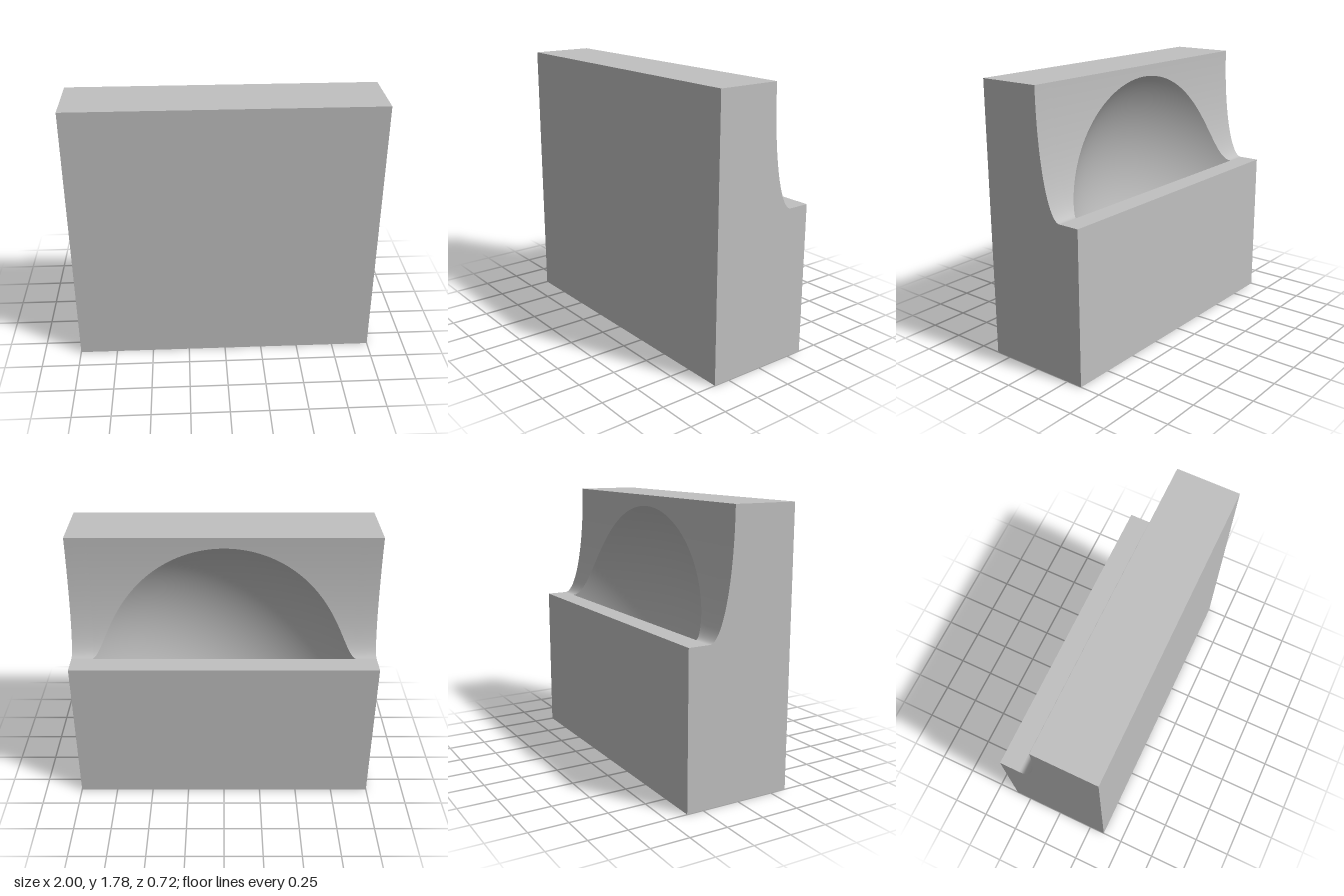
import * as THREE from 'three';

// Block and scooped step
const W = 1, H = 1.785, FRONT = 0.36, BACK = -0.36, SHELF = 1;
const COVE_Z = -0.22, COVE_A = 0.16, COVE_B = H - SHELF;
// Spherical hollow, cut off flat at the foot of the cove
const MOUTH = 0.86, CZ = -0.865;
const R2 = MOUTH ** 2 + (COVE_Z - CZ) ** 2;

// Quarter-ellipse cove: t = 0 at the shelf, PI / 2 at the top edge
const cove = (t) => ({
  y: H - COVE_B * Math.cos(t),
  z: COVE_Z + COVE_A * Math.sin(t),
});

// Cove angle at which the hollow's rim crosses the column at x
function rimAngle(x) {
  if (Math.abs(x) >= MOUTH - 1e-6) return 0;
  let lo = 0, hi = Math.PI / 2;
  for (let i = 0; i < 40; i++) {
    const mid = (lo + hi) / 2, p = cove(mid);
    const inside = x * x + (p.y - SHELF) ** 2 + (p.z - CZ) ** 2 < R2;
    if (inside) lo = mid; else hi = mid;
  }
  return lo;
}

const lowerY = (x) => SHELF - Math.sqrt(Math.max(0, MOUTH ** 2 - x * x));

// Surface made of columns at the given x values; point(x, v) returns { y, z }
function sheet(xs, rows, point) {
  const pos = [], index = [];
  xs.forEach((x, i) => {
    for (let j = 0; j <= rows; j++) {
      const p = point(x, j / rows);
      pos.push(x, p.y, p.z);
      if (i && j) {
        const d = i * (rows + 1) + j, b = d - rows - 1;
        index.push(b, b - 1, d - 1, b, d - 1, d);
      }
    }
  });
  const g = new THREE.BufferGeometry();
  g.setAttribute('position', new THREE.Float32BufferAttribute(pos, 3));
  g.setIndex(index);
  g.computeVertexNormals();
  return g;
}

export function createModel() {
  const group = new THREE.Group();
  const grey = new THREE.MeshStandardMaterial({ color: 0xc0c0c0, side: THREE.DoubleSide });
  grey.name = 'grey';
  const add = (name, geometry) => {
    const mesh = new THREE.Mesh(geometry, grey);
    mesh.name = name;
    group.add(mesh);
    return mesh;
  };

  // Flat outer faces, each spanning the full width between two profile points
  const topZ = COVE_Z + COVE_A;
  const faces = {
    shelf: [COVE_Z, SHELF, BACK, SHELF],
    backFace: [BACK, SHELF, BACK, 0],
    bottomFace: [BACK, 0, FRONT, 0],
    frontFace: [FRONT, 0, FRONT, H],
    topFace: [FRONT, H, topZ, H],
  };
  for (const [name, [z0, y0, z1, y1]] of Object.entries(faces)) {
    add(name, sheet([-W, W], 1, (x, v) => ({ y: y0 + (y1 - y0) * v, z: z0 + (z1 - z0) * v })));
  }

  // End faces cut to the stepped profile
  const outline = [[FRONT, H], [FRONT, 0], [BACK, 0], [BACK, SHELF]];
  for (let i = 0; i <= 32; i++) {
    const p = cove((i / 32) * Math.PI / 2);
    outline.push([p.z, p.y]);
  }
  const profile = new THREE.Shape(outline.map(([z, y]) => new THREE.Vector2(z, y)));
  for (const [name, x] of [['leftEnd', W], ['rightEnd', -W]]) {
    const end = new THREE.ShapeGeometry(profile);
    end.rotateY(-Math.PI / 2);
    add(name, end).position.x = x;
  }

  // Columns bunch up towards the corners of the hollow's mouth
  const mouthXs = [];
  for (let i = 0; i <= 64; i++) mouthXs.push(MOUTH * Math.sin((i / 64 - 0.5) * Math.PI));

  // Curved wall above the shelf, trimmed around the hollow
  add('coveWall', sheet([-W, ...mouthXs, W], 32, (x, v) => {
    const t = rimAngle(x);
    return cove(t + (Math.PI / 2 - t) * v);
  }));

  // Spherical hollow, reaching down behind the shelf
  add('hollow', sheet(mouthXs, 48, (x, v) => {
    const y0 = lowerY(x), y1 = cove(rimAngle(x)).y;
    const y = y0 + (y1 - y0) * v;
    return { y, z: CZ + Math.sqrt(R2 - x * x - (y - SHELF) ** 2) };
  }));

  // Flat inner side of the shelf lip
  add('lipInside', sheet(mouthXs, 1, (x, v) => ({
    y: lowerY(x) + (SHELF - lowerY(x)) * v, z: COVE_Z,
  })));

  return group;
}
